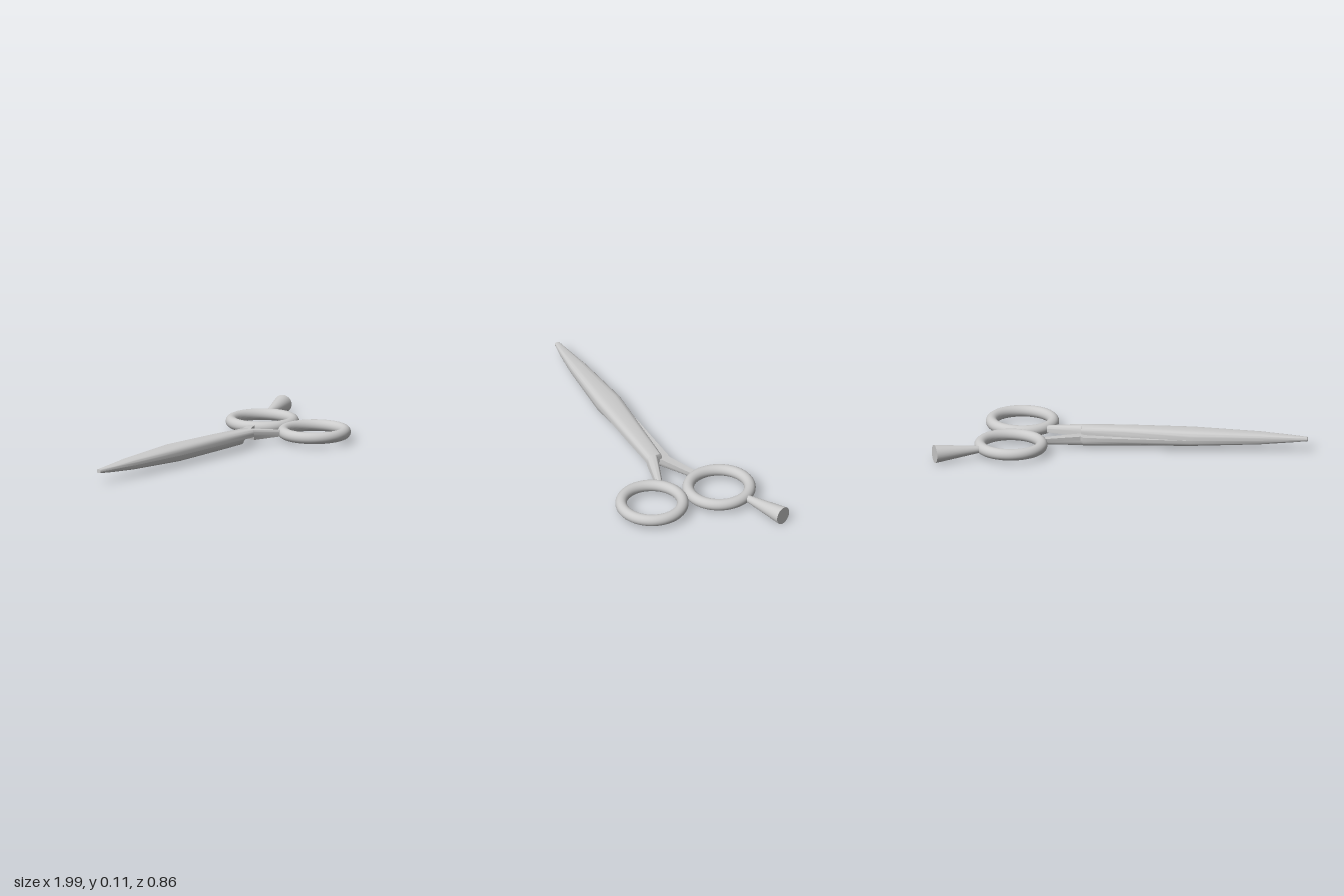
import * as THREE from 'three';
import { toCreasedNormals } from 'three/addons/utils/BufferGeometryUtils.js';

const STEPS = 16;

// Lofts a half-round section along x; station: [x, backZ, frontZ, flatY, outerY]
function loftBlade(stations) {
  const pos = [], idx = [], n = STEPS + 1;
  const soft = (v) => Math.sign(v) * Math.pow(Math.abs(v), 0.6);
  for (const [x, z0, z1, flat, outer] of stations) {
    const dir = outer > flat ? 1 : -1;
    for (let k = 0; k < n; k++) {
      const a = (k / STEPS) * Math.PI;
      const u = dir * soft(Math.cos(a)), v = soft(Math.sin(a));
      pos.push(x, flat + (outer - flat) * v, (z0 + z1) / 2 + ((z1 - z0) / 2) * u);
    }
  }
  const last = (stations.length - 1) * n;
  for (let i = 0; i < last; i += n) {
    for (let k = 0; k < n; k++) {
      const a = i + k, d = i + ((k + 1) % n);
      idx.push(a, a + n, d, d, a + n, d + n);
    }
  }
  // end caps
  for (let k = 1; k < n - 1; k++) {
    idx.push(0, k, k + 1, last, last + k + 1, last + k);
  }
  const g = new THREE.BufferGeometry();
  g.setAttribute('position', new THREE.Float32BufferAttribute(pos, 3));
  g.setIndex(idx);
  return toCreasedNormals(g, 0.7);
}

export function createModel() {
  const model = new THREE.Group();
  model.name = 'scissors';
  const steel = new THREE.MeshStandardMaterial({ color: 0xcccccc });
  const add = (name, geometry) => {
    const mesh = new THREE.Mesh(geometry, steel);
    mesh.name = name;
    model.add(mesh);
    return mesh;
  };

  // Upper blade, running into the front shank
  add('upperBlade', loftBlade([
    [-1, 0.118, 0.146, 0.07, 0.081],
    [-0.9, 0.1, 0.155, 0.069, 0.088],
    [-0.74, 0.07, 0.161, 0.067, 0.099],
    [-0.37, 0.017, 0.157, 0.064, 0.111],
    [0, 0.02, 0.131, 0.063, 0.11],
    [0.23, 0.02, 0.112, 0.062, 0.104],
    [0.235, 0.045, 0.111, 0.045, 0.104],
    [0.43, 0.1, 0.138, 0.04, 0.073],
  ]));

  // Lower blade, running into the back shank
  add('lowerBlade', loftBlade([
    [-1, 0.118, 0.146, 0.07, 0.06],
    [-0.9, 0.1, 0.155, 0.069, 0.051],
    [-0.74, 0.07, 0.161, 0.067, 0.039],
    [-0.37, 0.017, 0.157, 0.064, 0.024],
    [0, -0.009, 0.1, 0.063, 0.017],
    [0.21, -0.025, 0.058, 0.064, 0.012],
    [0.225, -0.02, 0.038, 0.068, 0.013],
    [0.42, -0.103, -0.065, 0.071, 0.038],
  ]));

  // Finger rings
  for (const [name, z] of [['backRing', -0.168], ['frontRing', 0.226]]) {
    const ring = add(name, new THREE.TorusGeometry(0.168, 0.0315, 24, 64));
    ring.rotation.x = Math.PI / 2;
    ring.position.set(0.585, 0.0535, z);
  }

  // Flared finger rest on the back ring
  const start = new THREE.Vector3(0.735, 0.0535, -0.268);
  const end = new THREE.Vector3(0.97, 0.0535, -0.386);
  const axis = end.clone().sub(start);
  const rest = add('fingerRest', new THREE.CylinderGeometry(0.05, 0.018, axis.length(), 32));
  rest.position.copy(start).add(end).multiplyScalar(0.5);
  rest.quaternion.setFromUnitVectors(new THREE.Vector3(0, 1, 0), axis.normalize());

  return model;
}
